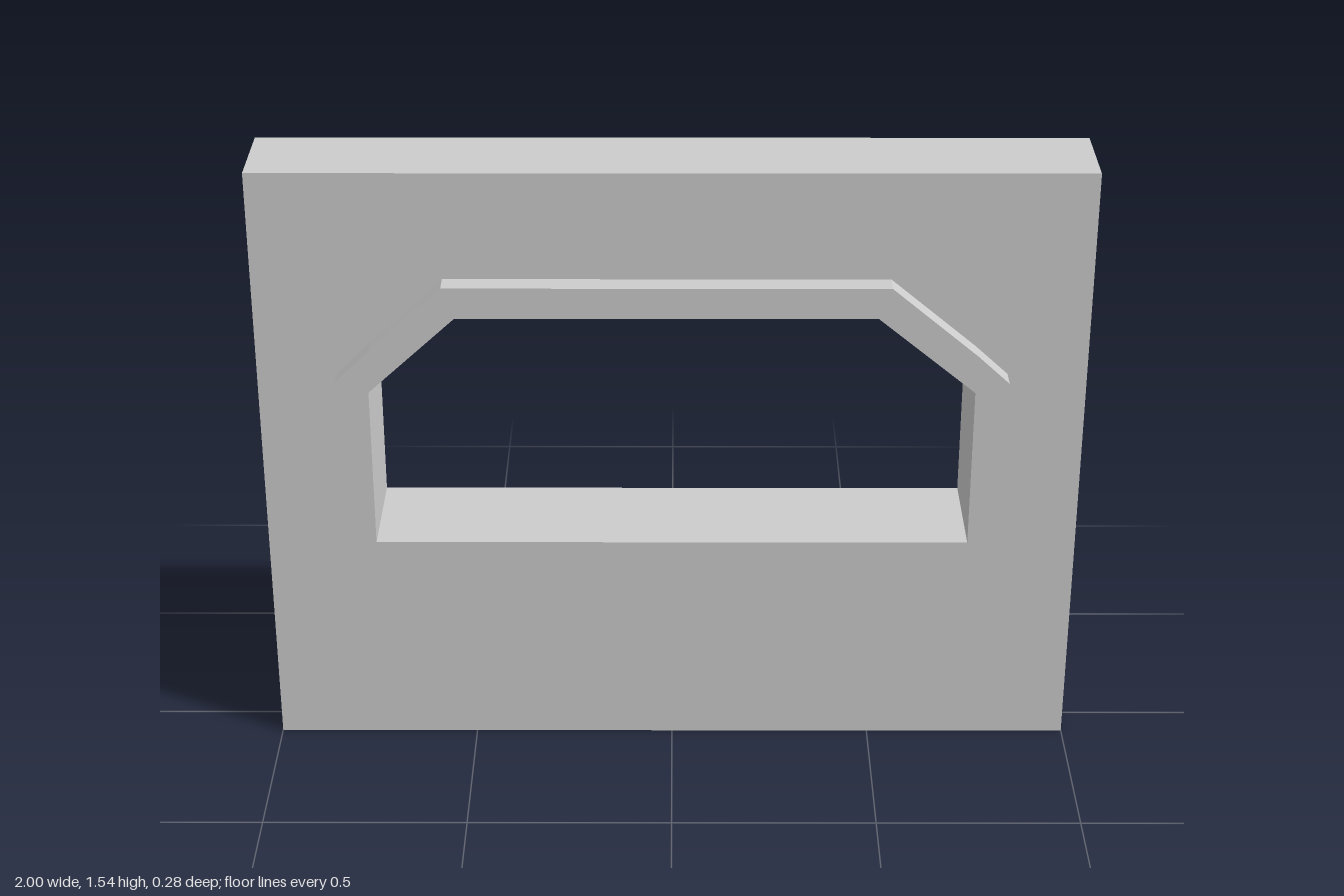
import * as THREE from 'three';

const material = new THREE.MeshStandardMaterial({ color: 0xcccccc, flatShading: true });
const toPoints = (list) => list.map(([x, y]) => new THREE.Vector2(x, y));

// Flat panel with an opening, extruded from z = back to z = front
function panel(name, outline, opening, back, front) {
  const shape = new THREE.Shape(toPoints(outline));
  shape.holes.push(new THREE.Path(toPoints(opening)));
  const geometry = new THREE.ExtrudeGeometry(shape, { depth: front - back, bevelEnabled: false });
  geometry.translate(0, 0, back);
  const mesh = new THREE.Mesh(geometry, material);
  mesh.name = name;
  return mesh;
}

export function createModel() {
  const model = new THREE.Group();
  model.name = 'wallWithWindow';

  const wallOutline = [[-1, 0], [1, 0], [1, 1.537], [-1, 1.537]];
  // Opening with two cut upper corners, shared by wall and frame
  const opening = [
    [-0.727, 0.585], [0.727, 0.585], [0.727, 0.995],
    [0.49, 1.19], [-0.515, 1.19], [-0.727, 0.995],
  ];
  // Raised trim, its cut corners bending slightly
  const frameOutline = [
    [-0.808, 0.505], [0.808, 0.505], [0.808, 1.02], [0.73, 1.092],
    [0.52, 1.268], [-0.545, 1.268], [-0.72, 1.106], [-0.808, 1.02],
  ];

  model.add(panel('wall', wallOutline, opening, -0.142, 0.087));
  model.add(panel('windowFrame', frameOutline, opening, 0.087, 0.142));
  return model;
}
